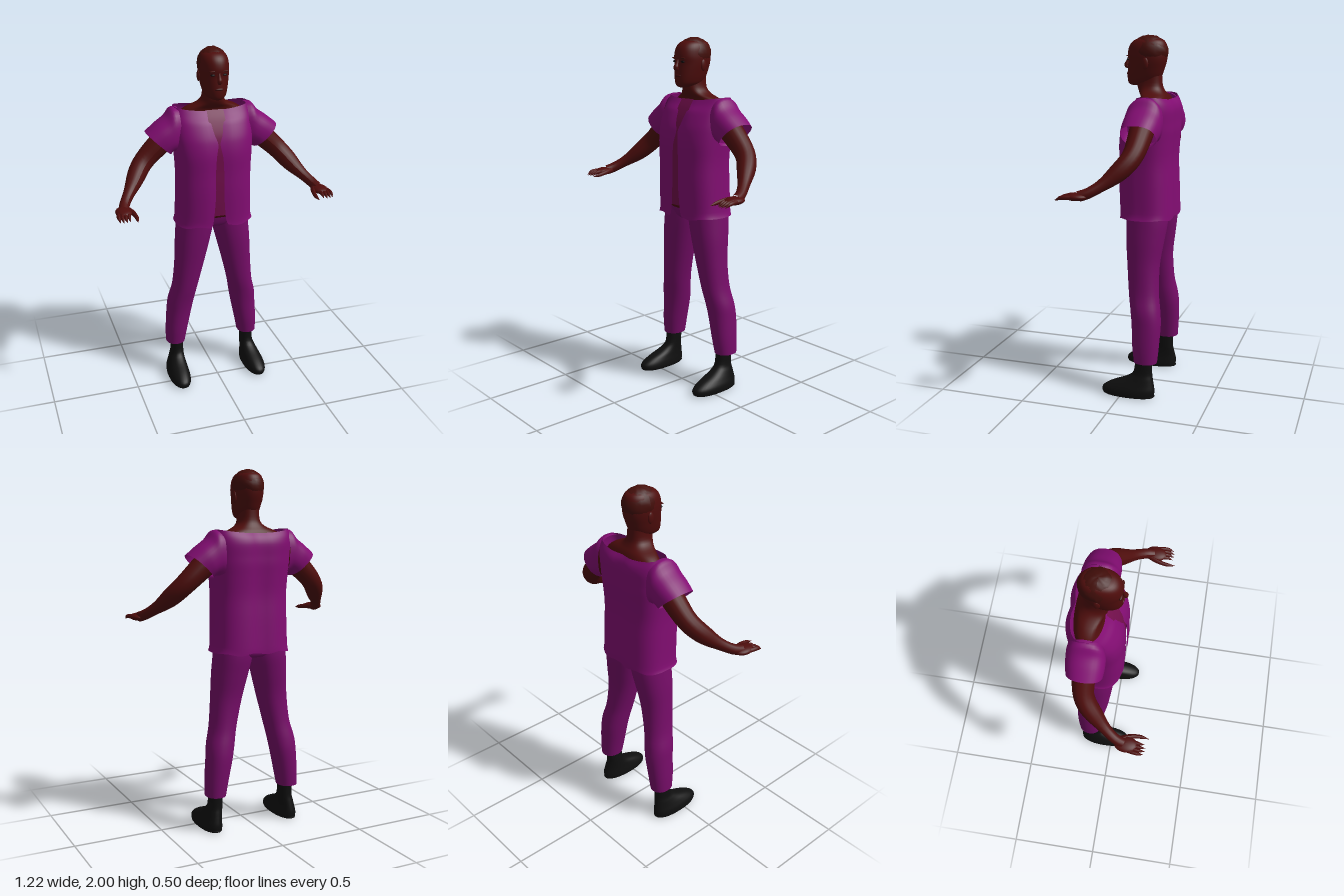
import * as THREE from 'three';

const mat = (name, color, side = THREE.FrontSide) => {
  const m = new THREE.MeshStandardMaterial({ color, side });
  m.name = name;
  return m;
};

// Grid surface: fn(u, v) gives a point; columns wrap round when closed
function surface(rows, cols, closed, fn) {
  const pos = [], idx = [], n = closed ? cols : cols + 1;
  for (let i = 0; i <= rows; i++)
    for (let j = 0; j < n; j++) pos.push(...fn(i / rows, j / cols));
  for (let i = 0; i < rows; i++)
    for (let j = 0; j < cols; j++) {
      const a = i * n + j, b = i * n + (j + 1) % n;
      idx.push(a, b, a + n, b, b + n, a + n);
    }
  const g = new THREE.BufferGeometry();
  g.setAttribute('position', new THREE.Float32BufferAttribute(pos, 3));
  g.setIndex(idx);
  g.computeVertexNormals();
  return g;
}

// Smooth interpolation through rows of numbers
function sample(rows, u) {
  const f = u * (rows.length - 1), i = Math.min(Math.floor(f), rows.length - 2), t = f - i;
  const at = k => rows[Math.max(0, Math.min(rows.length - 1, k))];
  return rows[0].map((_, c) => {
    const p0 = at(i - 1)[c], p1 = at(i)[c], p2 = at(i + 1)[c], p3 = at(i + 2)[c];
    const m1 = (p2 - p0) / 2, m2 = (p3 - p1) / 2, s = t * t, q = s * t;
    return (2 * q - 3 * s + 1) * p1 + (q - 2 * s + t) * m1 + (3 * s - 2 * q) * p2 + (q - s) * m2;
  });
}

const spow = (v, e) => Math.sign(v) * Math.abs(v) ** e;

// Horizontal rings, bottom to top: [y, xMin, xMax, zFront, zBack, frontGap]
function loft(rings, { e = 1, arc = null, bend = null, cols = 40 } = {}) {
  return surface((rings.length - 1) * 4, cols, !arc, (u, v) => {
    const r = sample(rings, u), w = (r[2] - r[1]) / 2, d = (r[3] - r[4]) / 2;
    const [t0, t1] = arc ? arc(r, w) : [0, Math.PI * 2];
    const t = t0 + (t1 - t0) * v;
    const p = [(r[1] + r[2]) / 2 + w * spow(Math.sin(t), e), r[0], (r[3] + r[4]) / 2 + d * spow(Math.cos(t), e)];
    return bend ? bend(p, w, Math.cos(t)) : p;
  });
}

// Tube with a varying radius
function limb(points, radii, segs = 24, sides = 16) {
  const curve = new THREE.CatmullRomCurve3(points.map(p => new THREE.Vector3(...p)));
  const g = new THREE.TubeGeometry(curve, segs, 1, sides);
  const pos = g.attributes.position, v = new THREE.Vector3(), rows = radii.map(r => [r]);
  for (let i = 0; i < pos.count; i++) {
    const u = Math.floor(i / (sides + 1)) / segs, c = curve.getPointAt(u);
    v.fromBufferAttribute(pos, i).sub(c).multiplyScalar(Math.max(0.001, sample(rows, u)[0])).add(c);
    pos.setXYZ(i, v.x, v.y, v.z);
  }
  g.computeVertexNormals();
  return g;
}

const ball = (x, y, z, rx, ry, rz) => new THREE.SphereGeometry(1, 24, 16).scale(rx, ry, rz).translate(x, y, z);

function mirrored(g) {
  const m = g.clone(), ix = m.index.array;
  m.scale(-1, 1, 1);
  for (let i = 0; i < ix.length; i += 3) [ix[i], ix[i + 1]] = [ix[i + 1], ix[i]];
  m.computeVertexNormals();
  return m;
}

export function createModel() {
  const model = new THREE.Group();
  model.name = 'standingMan';
  const skin = mat('skin', 0x4e0d0c), hair = mat('hair', 0x430e0a), dark = mat('eyeDark', 0x0c0607);
  const lip = mat('lips', 0x40090c), shoe = mat('shoeBlack', 0x0f0f0f);
  const shirt = mat('shirtPurple', 0x820d72, THREE.DoubleSide);
  const pants = mat('trouserPurple', 0x760d68, THREE.DoubleSide);
  const under = mat('undershirt', 0x700e4a, THREE.DoubleSide);
  const add = (name, g, m) => {
    const mesh = new THREE.Mesh(g, m);
    mesh.name = name;
    model.add(mesh);
  };
  const pair = (name, g, m) => {
    add(name + 'Left', g, m);
    add(name + 'Right', mirrored(g), m);
  };
  const sym = rows => rows.map(([y, w, ...rest]) => [y, -w, w, ...rest]);

  // Body inside the clothes, up through shoulders and neck
  add('bodyAndNeck', loft(sym([
    [1.04, .01, -.09, -.11], [1.05, .18, .015, -.21], [1.2, .185, .025, -.21], [1.42, .19, .02, -.21],
    [1.55, .2, -.005, -.215], [1.62, .195, -.05, -.21], [1.665, .15, -.055, -.195],
    [1.695, .085, -.035, -.175], [1.73, .058, -.022, -.16], [1.8, .054, -.02, -.155],
  ]), { e: .85 }), skin);

  // Head with jaw, face features and ears
  add('head', loft(sym([
    [1.728, .008, .004, -.03], [1.735, .034, .024, -.09], [1.75, .055, .033, -.13], [1.78, .066, .036, -.155],
    [1.82, .074, .034, -.17], [1.86, .08, .031, -.182], [1.9, .081, .034, -.186], [1.945, .075, .022, -.182],
    [1.975, .055, -.01, -.16], [1.99, .008, -.07, -.1],
  ]), { e: .93 }), skin);
  add('nose', limb([[0, 1.88, .03], [0, 1.85, .039], [0, 1.835, .044], [0, 1.825, .03]], [.007, .01, .014, .008], 12, 12), skin);
  add('mouth', ball(0, 1.793, .031, .025, .008, .009), lip);
  pair('eye', ball(.032, 1.87, .023, .014, .006, .008), dark);
  pair('eyebrow', ball(.034, 1.889, .024, .019, .004, .008), hair);
  pair('ear', ball(.08, 1.85, -.085, .009, .031, .018), skin);

  // Short textured hair
  const cap = ball(0, 0, 0, .084, .09, .104), hp = cap.attributes.position;
  for (let i = 0; i < hp.count; i++) {
    const x = hp.getX(i), y = hp.getY(i), z = hp.getZ(i);
    const k = 1 + .022 * Math.sin(x * 130) * Math.cos(z * 120 + y * 90);
    hp.setXYZ(i, x * k, 1.909 + y * k, -.087 + z * k);
  }
  cap.computeVertexNormals();
  add('hair', cap, hair);

  // Open shirt, with a dip between the two sides of the chest and back
  const torso = sym([
    [1.01, .225, .055, -.25, .05], [1.05, .216, .055, -.25, .036], [1.2, .212, .061, -.245, .024],
    [1.32, .211, .06, -.24, .024], [1.42, .217, .06, -.245, .018], [1.49, .222, .05, -.25, .006],
    [1.54, .224, .034, -.25, .022], [1.6, .223, .005, -.25, .028], [1.645, .219, -.025, -.24, .03],
    [1.68, .212, -.045, -.222, .03],
  ]);
  add('shirtBody', loft(torso, {
    e: .72, cols: 64,
    arc: (r, w) => {
      const t = Math.asin((Math.max(.004, r[5]) / w) ** (1 / .72));
      return [t, Math.PI * 2 - t];
    },
    bend: ([x, y, z], w, c) => [
      x,
      y - (y > 1.6 ? (y - 1.6) * .25 * (1 - (x / w) ** 2) : 0) + (y < 1.04 ? .006 * Math.sin(x * 40) : 0),
      z - .013 * Math.sign(c) * Math.exp(-((x / .045) ** 2)),
    ],
  }), shirt);
  add('undershirtStrip', loft(torso.slice(1, 9).map(r => [r[0] + .02, r[1], r[2], r[3] - .018, r[4], 0]), {
    e: .72, cols: 8, arc: () => [-.12, .12],
  }), under);

  // Flared short sleeves: [topX, topY, bottomX, bottomY, zFront, zBack]
  const sleeve = [[.195, 1.676, .19, 1.42, -.03, -.22], [.23, 1.674, .205, 1.43, -.022, -.222],
    [.265, 1.632, .22, 1.435, -.018, -.222], [.32, 1.592, .232, 1.43, -.018, -.22], [.375, 1.548, .238, 1.42, -.022, -.212]];
  pair('sleeve', surface(16, 32, true, (u, v) => {
    const [tx, ty, bx, by, zf, zb] = sample(sleeve, u), t = v * Math.PI * 2;
    const c = spow(Math.cos(t), .85) / 2, s = spow(Math.sin(t), .85) / 2;
    return [(tx + bx) / 2 + (tx - bx) * c, (ty + by) / 2 + (ty - by) * c, (zf + zb) / 2 + (zf - zb) * s];
  }), shirt);

  // Arms reaching out, down and forward
  pair('arm', limb([[.2, 1.56, -.12], [.3, 1.475, -.122], [.4, 1.38, -.105], [.48, 1.285, -.02], [.545, 1.22, .075], [.56, 1.205, .12]],
    [.07, .064, .056, .05, .031, .028]), skin);
  pair('palm', ball(.562, 1.203, .135, .045, .021, .062), skin);
  for (let i = 0; i < 4; i++) {
    const x = .54 + i * .018, tip = .245 - Math.abs(i - 1.5) * .008;
    pair('finger' + (i + 1), limb([[x, 1.203, .15], [x + .008, 1.2, .2], [x + .006, 1.184, tip]], [.012, .0115, .009, .001], 10, 8), skin);
  }
  pair('thumb', limb([[.54, 1.205, .1], [.515, 1.2, .16], [.508, 1.192, .21], [.512, 1.185, .253]], [.016, .015, .012, .01, .001], 12, 8), skin);

  // Trousers: hips and two legs
  add('trouserHips', loft(sym([[.972, .008, -.09, -.12], [.985, .11, -.02, -.2], [1.02, .2, .005, -.22], [1.085, .2, .022, -.22]]),
    { e: .85 }), pants);
  pair('trouserLeg', loft([
    [.21, .172, .285, -.072, -.203], [.3, .155, .284, -.06, -.21], [.42, .13, .276, -.052, -.215], [.5, .114, .268, -.042, -.208],
    [.6, .094, .243, -.025, -.193], [.75, .057, .229, -.01, -.19], [.88, .024, .222, .002, -.208],
    [.98, 0, .213, .006, -.222], [1.06, -.01, .205, .006, -.222],
  ], { e: .92, cols: 32 }), pants);

  // Shoes with ankles
  pair('shoe', loft([
    [.004, .23, .24, -.03, -.04], [.004, .188, .29, .09, -.178], [.018, .176, .3, .113, -.19], [.045, .177, .299, .108, -.192],
    [.075, .182, .288, .06, -.187], [.11, .186, .274, -.025, -.18], [.15, .186, .262, -.07, -.174], [.24, .186, .262, -.076, -.176],
  ], { e: .9, cols: 32 }), shoe);

  return model;
}
